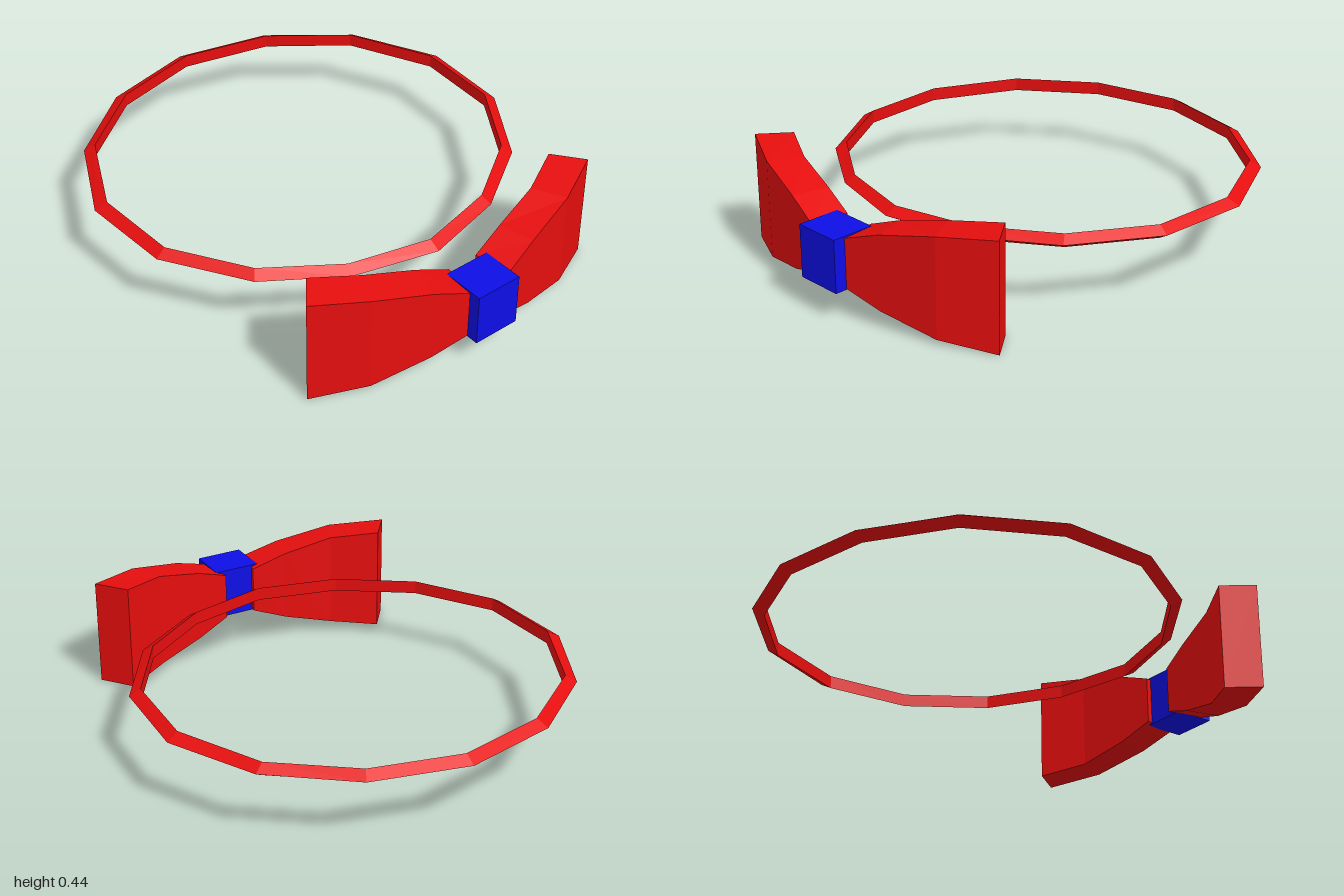
import * as THREE from 'three';

const red = new THREE.MeshStandardMaterial({ color: 0xe60e0e });
red.name = 'red cloth';
const blue = new THREE.MeshStandardMaterial({ color: 0x0e0ee6 });
blue.name = 'blue cloth';

// Faceted skin through matching cross-sections, each counter-clockwise seen from the end
function loft(sections, closed) {
  const pos = [];
  const tri = (a, b, c) => pos.push(...a, ...b, ...c);
  const quad = (a, b, c, d) => { tri(a, b, c); tri(a, c, d); };
  const n = sections.length;
  for (let s = 0; s < (closed ? n : n - 1); s++) {
    const a = sections[s], b = sections[(s + 1) % n];
    for (let i = 0; i < a.length; i++) {
      const j = (i + 1) % a.length;
      quad(a[i], a[j], b[j], b[i]);
    }
  }
  if (!closed) {
    quad(...[...sections[0]].reverse());
    quad(...sections[n - 1]);
  }
  const g = new THREE.BufferGeometry();
  g.setAttribute('position', new THREE.Float32BufferAttribute(pos, 3));
  g.computeVertexNormals();
  return g;
}

function add(group, name, geometry, material) {
  const mesh = new THREE.Mesh(geometry, material);
  mesh.name = name;
  group.add(mesh);
  return mesh;
}

export function createModel() {
  const group = new THREE.Group();
  group.name = 'bowTie';

  // Neck band: triangular section, half outline as [outer x, outer z, inner x, inner z]
  const half = [
    [0, -1, 0, -0.952], [0.384, -0.91, 0.362, -0.867],
    [0.69, -0.673, 0.652, -0.648], [0.864, -0.32, 0.816, -0.305],
    [0.842, 0.067, 0.798, 0.055], [0.637, 0.393, 0.609, 0.357],
    [0.342, 0.588, 0.328, 0.548], [0, 0.675, 0, 0.627],
  ];
  const mirrored = half.slice(1, -1).reverse().map(([ox, oz, ix, iz]) => [-ox, oz, -ix, iz]);
  const band = [...half, ...mirrored].map(([ox, oz, ix, iz]) =>
    [[ix, 0.26, iz], [ox, 0.287, oz], [ix, 0.314, iz]]);
  add(group, 'neckBand', loft(band, true), red);

  // Wings: [front x, front z, back x, back z, half height] from knot to tip
  const midY = 0.22;
  const profile = [
    [0.09, 0.953, 0.065, 0.803, 0.098],
    [0.24, 0.918, 0.205, 0.775, 0.15],
    [0.47, 0.857, 0.405, 0.728, 0.2],
    [0.68, 0.752, 0.588, 0.633, 0.22],
  ];
  const wing = (side) => {
    const sections = profile.map(([fx, fz, bx, bz, h]) => [
      [side * fx, midY - h, fz], [side * bx, midY - h, bz],
      [side * bx, midY + h, bz], [side * fx, midY + h, fz],
    ]);
    return loft(side > 0 ? sections : sections.reverse(), false);
  };
  add(group, 'leftWing', wing(1), red);
  add(group, 'rightWing', wing(-1), red);

  // Centre knot
  add(group, 'knot', new THREE.BoxGeometry(0.194, 0.212, 0.174), blue).position.set(0, 0.222, 0.913);

  return group;
}
